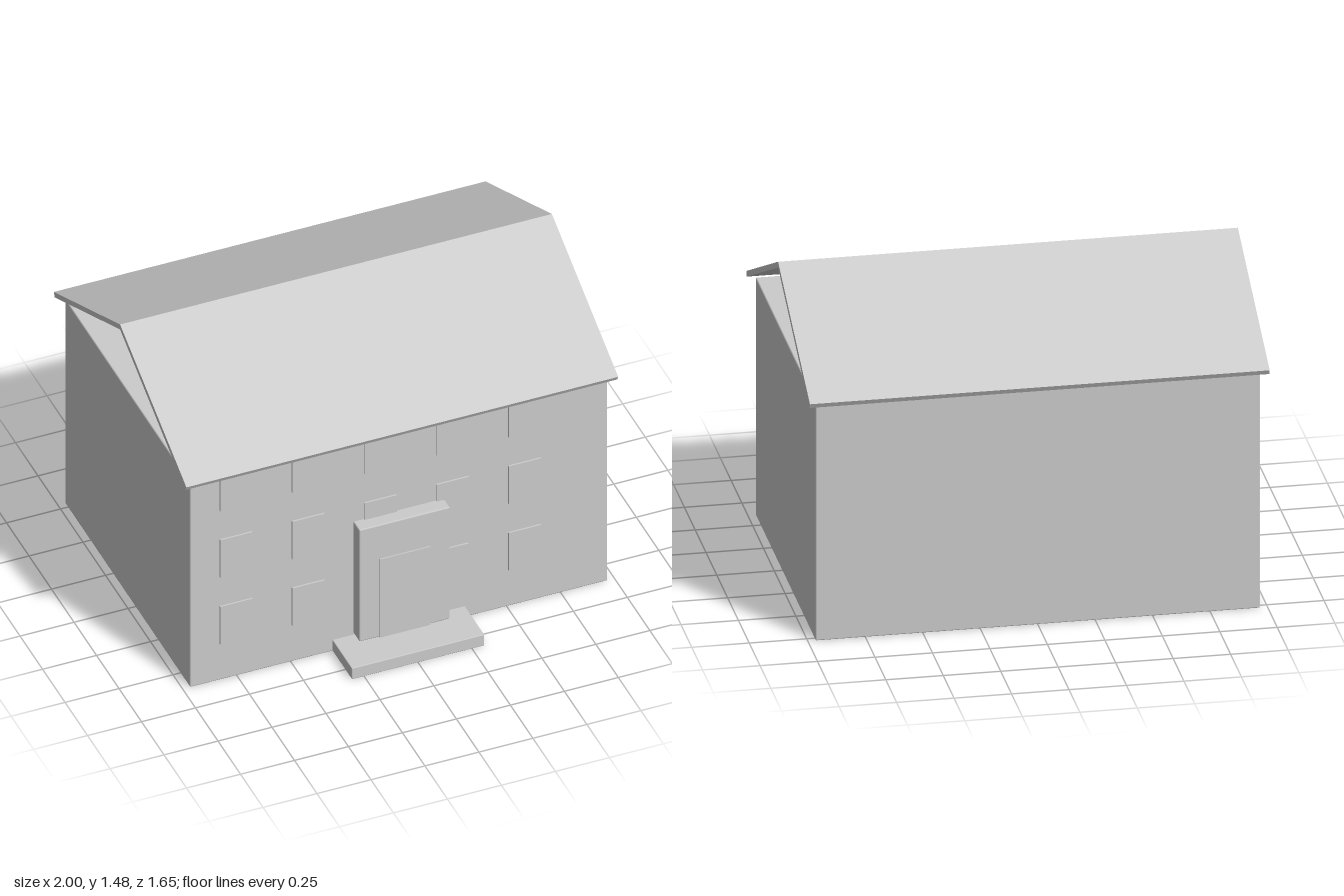
import * as THREE from 'three';
import { RoundedBoxGeometry } from 'three/addons/geometries/RoundedBoxGeometry.js';

export function createModel() {
  const group = new THREE.Group();
  const plaster = new THREE.MeshStandardMaterial({ color: 0xcccccc });
  plaster.name = 'light grey';

  const add = (name, geometry) => {
    const mesh = new THREE.Mesh(geometry, plaster);
    mesh.name = name;
    group.add(mesh);
    return mesh;
  };

  // Box given by its limits, with an optional small edge bevel
  const block = (name, [x0, x1], [y0, y1], [z0, z1], bevel = 0) => {
    const size = [x1 - x0, y1 - y0, z1 - z0];
    const geometry = bevel
      ? new RoundedBoxGeometry(...size, 1, bevel)
      : new THREE.BoxGeometry(...size);
    add(name, geometry).position.set((x0 + x1) / 2, (y0 + y1) / 2, (z0 + z1) / 2);
  };

  // Main building, entrance step, portal and door
  block('walls', [-0.967, 0.967], [0, 1.107], [-0.78, 0.61], 0.006);
  block('entranceStep', [-0.307, 0.307], [0, 0.06], [0.605, 0.825], 0.004);
  block('portal', [-0.21, 0.21], [0.067, 0.672], [0.6, 0.676], 0.006);
  block('door', [-0.117, 0.117], [0.067, 0.49], [0.67, 0.682]);

  // Three rows of five windows
  for (const y of [0.197, 0.558, 0.918]) {
    for (let i = 0; i < 5; i++) {
      const x = -0.755 + i * 0.334;
      block('window', [x - 0.075, x + 0.075], [y, y + 0.204], [0.608, 0.618]);
    }
  }

  // Two thin roof slabs meeting at the ridge, with open gables
  const ridgeZ = -0.088;
  for (const side of [1, -1]) {
    const profile = new THREE.Shape([
      [0, 1.475], [0, 1.448], [0.726, 1.1], [0.737, 1.122],
    ].map(([d, y]) => new THREE.Vector2(-(ridgeZ + side * d), y)));
    const slab = new THREE.ExtrudeGeometry(profile, { depth: 2, bevelEnabled: false });
    slab.translate(0, 0, -1).rotateY(Math.PI / 2);
    add(side > 0 ? 'frontRoof' : 'backRoof', slab);
  }
  return group;
}
